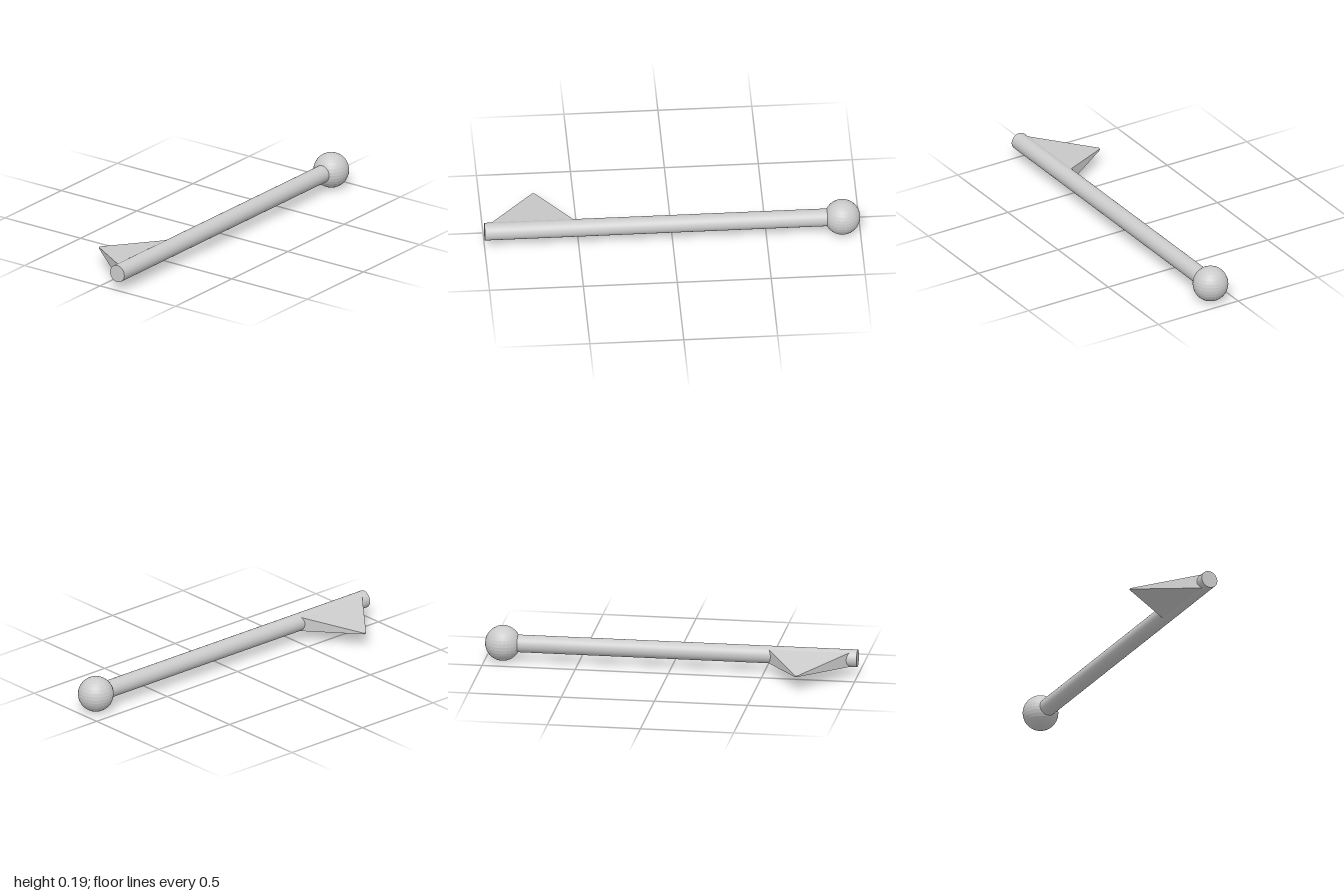
import * as THREE from 'three';

const AXIS_X = 0.114, AXIS_Y = 0.096;

// Four-sided fin: a box whose -x end is drawn in to a small blunt tip.
function finGeometry() {
  const root = { x: 0.09, y: [0.055, 0.134], z: [0.524, 0.963] };
  const tip = { x: -0.212, y: [0.08, 0.086], z: [0.711, 0.725] };
  const geometry = new THREE.BoxGeometry(1, 1, 1);
  const p = geometry.attributes.position;
  for (let i = 0; i < p.count; i++) {
    const end = p.getX(i) > 0 ? root : tip;
    p.setXYZ(i, end.x, end.y[p.getY(i) > 0 ? 1 : 0], end.z[p.getZ(i) > 0 ? 1 : 0]);
  }
  geometry.computeVertexNormals();
  return geometry;
}

export function createModel() {
  const group = new THREE.Group();
  const smooth = new THREE.MeshStandardMaterial({ color: 0xcccccc });
  const faceted = new THREE.MeshStandardMaterial({ color: 0xcccccc, flatShading: true });

  const add = (name, geometry, material) => {
    const mesh = new THREE.Mesh(geometry, material);
    mesh.name = name;
    group.add(mesh);
    return mesh;
  };

  // Long round shaft, running from inside the ball to the front end
  const back = -0.85, front = 1;
  const shaft = add('shaft', new THREE.CylinderGeometry(0.047, 0.047, front - back, 32), smooth);
  shaft.rotation.x = Math.PI / 2;
  shaft.position.set(AXIS_X, AXIS_Y, (front + back) / 2);

  // Ball at the back end
  const ball = add('ball', new THREE.SphereGeometry(0.095, 32, 16), faceted);
  ball.position.set(AXIS_X, 0.095, -0.905);

  // Pointed fin on the right side near the front end
  add('fin', finGeometry(), faceted);

  return group;
}
